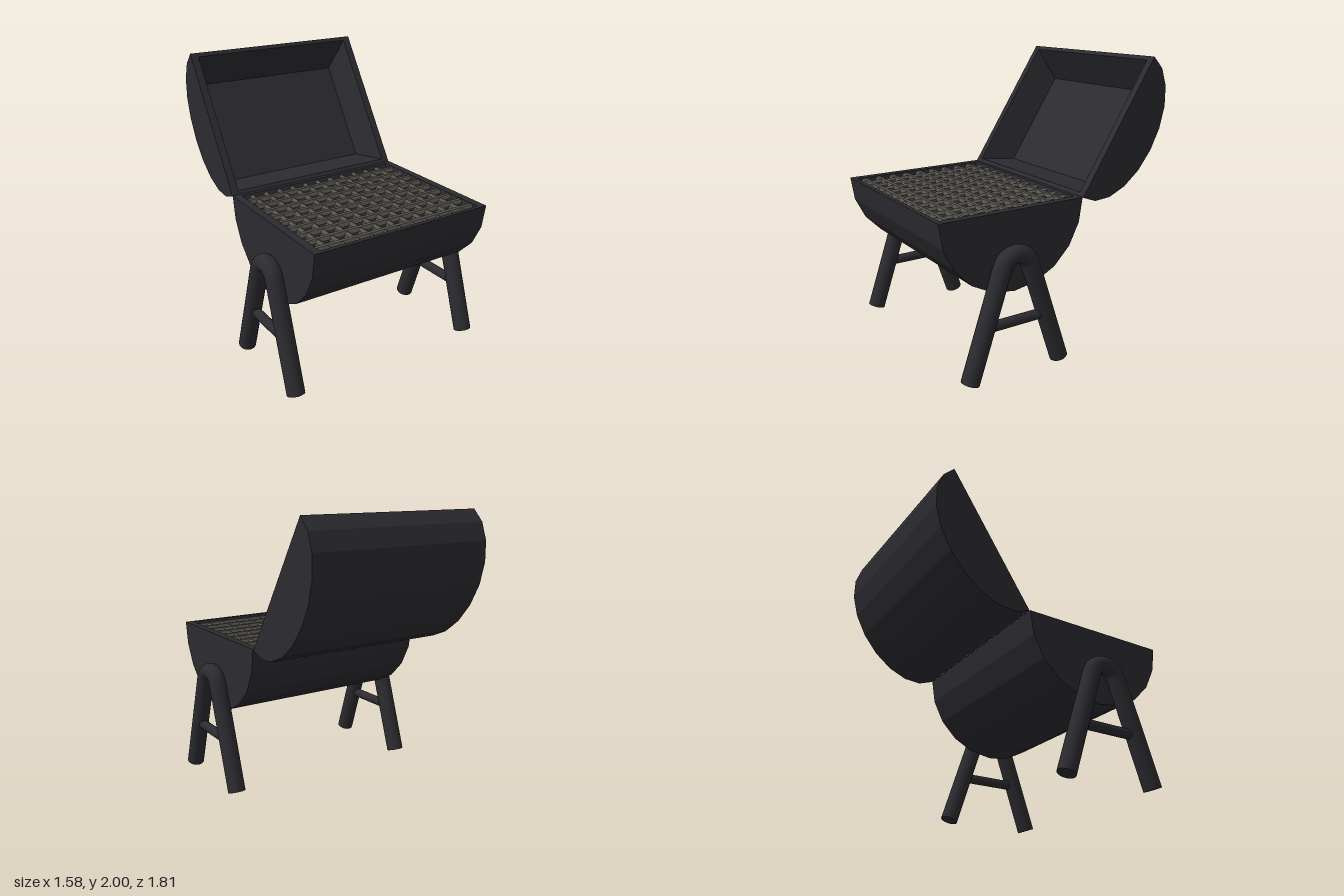
import * as THREE from 'three';

const iron = new THREE.MeshStandardMaterial({ color: 0x2b2b30 });
const facetedIron = new THREE.MeshStandardMaterial({ color: 0x2b2b30, flatShading: true });
const steel = new THREE.MeshStandardMaterial({ color: 0x55524c, flatShading: true });

// Half drum opening to +y, with a rim and a tapered hollow
function halfDrum(name, halfWidth, radius, depth, hollow) {
  const pos = [];
  const tri = (...pts) => pts.forEach((p) => pos.push(...p));
  const quad = (a, b, c, d) => tri(a, b, c, a, c, d);
  const rect = (x, y, z) => [[x, y, z], [x, y, -z], [-x, y, -z], [-x, y, z]];

  // curved shell and flat ends
  const n = 10;
  const at = (x, i) => {
    const a = (Math.PI * i) / n;
    return [x, -depth * Math.sin(a), radius * Math.cos(a)];
  };
  for (let i = 0; i < n; i++) {
    const w = halfWidth;
    quad(at(w, i), at(-w, i), at(-w, i + 1), at(w, i + 1));
    tri([w, 0, 0], at(w, i), at(w, i + 1));
    tri([-w, 0, 0], at(-w, i + 1), at(-w, i));
  }

  // rim, sloping inner walls and floor
  const rings = [
    rect(halfWidth, 0, radius),
    rect(halfWidth - 0.055, 0, radius - 0.03),
    rect(halfWidth - 0.115, -hollow, radius - 0.16),
  ];
  for (let r = 0; r < 2; r++) {
    for (let i = 0; i < 4; i++) {
      const j = (i + 1) % 4;
      quad(rings[r][i], rings[r][j], rings[r + 1][j], rings[r + 1][i]);
    }
  }
  quad(...rings[2]);

  const geo = new THREE.BufferGeometry();
  geo.setAttribute('position', new THREE.Float32BufferAttribute(pos, 3));
  geo.computeVertexNormals();
  const mesh = new THREE.Mesh(geo, facetedIron);
  mesh.name = name;
  return mesh;
}

// Crossed six-sided bars
function makeGrate() {
  const grate = new THREE.Group();
  grate.name = 'grate';
  const crossGeo = new THREE.CylinderGeometry(0.026, 0.026, 1.27, 6).rotateZ(Math.PI / 2);
  const longGeo = new THREE.CylinderGeometry(0.026, 0.026, 1.01, 6).rotateX(Math.PI / 2);
  for (let i = 0; i < 9; i++) {
    const bar = new THREE.Mesh(crossGeo, steel);
    bar.name = 'crossBar';
    bar.position.set(0, 1.072, -0.072 + i * 0.111);
    grate.add(bar);
  }
  for (let i = 0; i < 11; i++) {
    const bar = new THREE.Mesh(longGeo, steel);
    bar.name = 'longBar';
    bar.position.set(-0.547 + i * 0.108, 1.065, 0.353);
    grate.add(bar);
  }
  return grate;
}

// Bent tube stand with a brace between its two legs
function makeStand(name, x) {
  const stand = new THREE.Group();
  stand.name = name;
  const mid = 0.377, bend = 0.11, bendY = 0.715, tilt = 0.327, radius = 0.0625;
  const arc = [];
  for (let i = 0; i <= 8; i++) {
    const a = tilt + ((Math.PI - 2 * tilt) * i) / 8;
    arc.push(new THREE.Vector3(0, bendY + bend * Math.sin(a), mid + bend * Math.cos(a)));
  }
  const frontFoot = new THREE.Vector3(0, 0.02, mid + 0.351);
  const backFoot = new THREE.Vector3(0, 0.02, mid - 0.351);
  const path = new THREE.CurvePath();
  path.add(new THREE.LineCurve3(frontFoot, arc[0]));
  path.add(new THREE.CatmullRomCurve3(arc));
  path.add(new THREE.LineCurve3(arc[8], backFoot));
  const legs = new THREE.Mesh(new THREE.TubeGeometry(path, 72, radius, 20), iron);
  legs.name = 'legs';
  stand.add(legs);

  for (const [foot, top] of [[frontFoot, arc[0]], [backFoot, arc[8]]]) {
    const cap = new THREE.Mesh(new THREE.CircleGeometry(radius, 20), iron);
    cap.name = 'footCap';
    cap.position.copy(foot);
    cap.lookAt(foot.clone().multiplyScalar(2).sub(top));
    stand.add(cap);
  }

  const brace = new THREE.Mesh(new THREE.CylinderGeometry(0.035, 0.035, 0.44, 16).rotateX(Math.PI / 2), iron);
  brace.name = 'brace';
  brace.position.set(0, 0.37, mid);
  stand.add(brace);
  stand.position.x = x;
  return stand;
}

export function createModel() {
  const model = new THREE.Group();
  model.name = 'barrelGrill';

  const firebox = halfDrum('firebox', 0.685, 0.545, 0.545, 0.36);
  firebox.position.set(0, 1.1, 0.36);

  // shallower lid, swung open about the rear edge
  const lid = halfDrum('lid', 0.685, 0.54, 0.36, 0.24);
  lid.position.set(0, 1.548, -0.485);
  lid.rotation.x = 0.993;

  model.add(firebox, lid, makeGrate(), makeStand('leftStand', 0.728), makeStand('rightStand', -0.728));
  return model;
}
